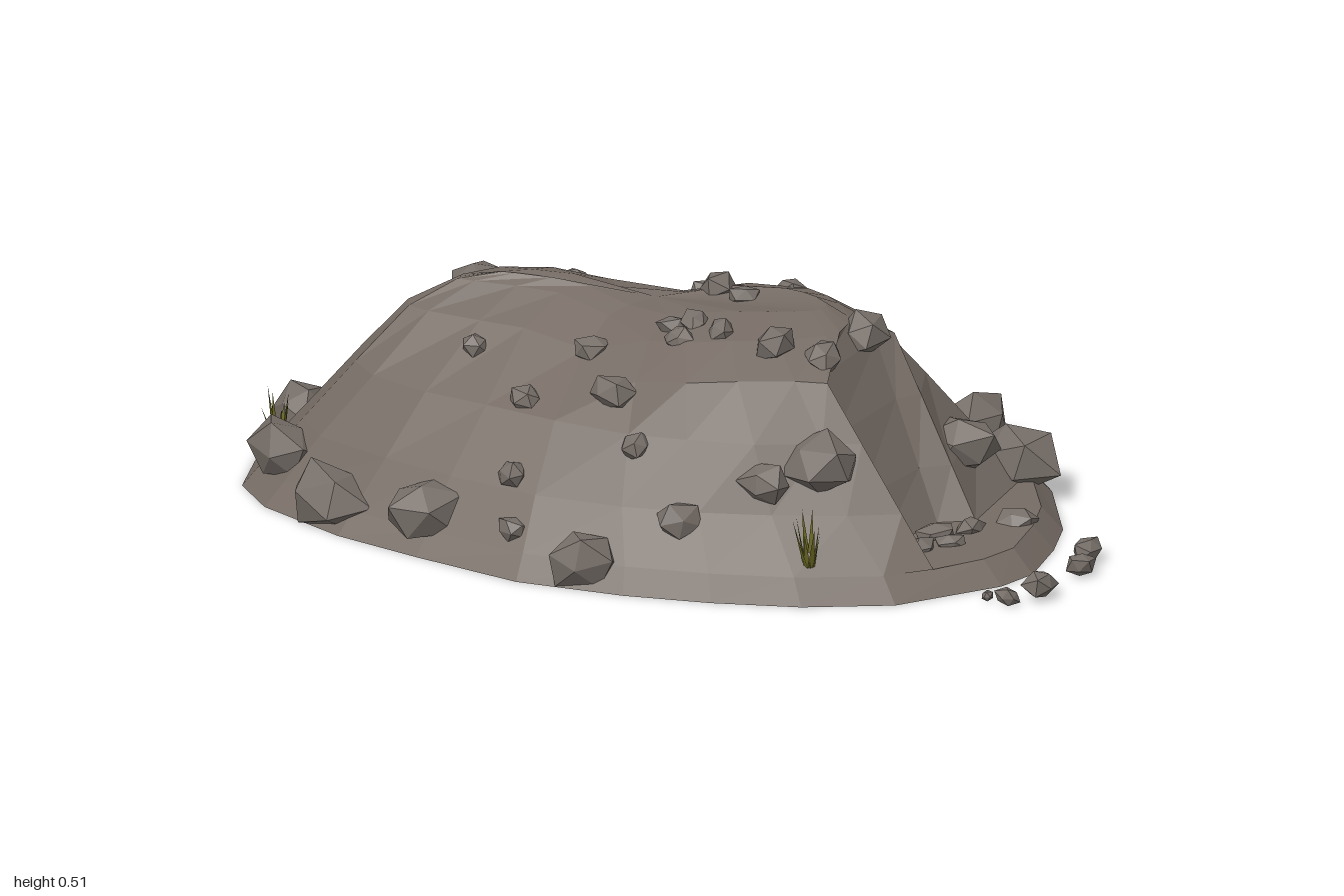
import * as THREE from 'three';

const mat = (name, color, extra = {}) =>
  Object.assign(new THREE.MeshStandardMaterial({ color, flatShading: true, ...extra }), { name });

// Seeded random numbers
let seed = 7;
const rand = () => ((seed = (seed * 16807) % 2147483647) / 2147483647);
const { lerp, clamp, smoothstep } = THREE.MathUtils;

// Footprint of the mound; the first four points frame the alcove at the +x end
const OUTLINE = [
  [0.85, -0.05], [0.86, 0.08], [0.85, 0.24], [0.80, 0.33], [0.6, 0.5], [0.4, 0.56], [0.2, 0.58],
  [0, 0.58], [-0.25, 0.55], [-0.5, 0.45], [-0.7, 0.36], [-0.9, 0.22], [-0.98, 0.1], [-0.99, -0.1],
  [-0.97, -0.25], [-0.83, -0.44], [-0.6, -0.53], [-0.35, -0.55], [0, -0.55], [0.3, -0.56],
  [0.58, -0.52], [0.69, -0.41], [0.77, -0.28],
];

// Contours: height, x range, z range, alcove cut or not, narrowing of the left crest
const LEVELS = [
  [0, -0.99, 0.86, -0.56, 0.58, false, 1],
  [0.05, -0.95, 0.81, -0.52, 0.53, false, 1],
  [0.05, -0.95, 0.81, -0.52, 0.53, true, 1],
  [0.16, -0.86, 0.69, -0.43, 0.447, true, 1],
  [0.3, -0.74, 0.57, -0.34, 0.375, true, 0.92],
  [0.42, -0.63, 0.47, -0.245, 0.31, true, 0.45],
  [0.475, -0.53, 0.38, -0.18, 0.2, false, 0.15],
  [0.495, -0.43, 0.32, -0.11, 0.06, false, 0],
];

function contour([y, x0, x1, z0, z1, cut, narrow], level) {
  const t = clamp((y - 0.05) / 0.37, 0, 1);
  const alcove = [
    [Math.min(x1, lerp(0.68, 0.46, t)), lerp(0.07, -0.08, t)],
    [lerp(0.6, 0.43, t), lerp(0.1, -0.03, t)],
    [lerp(0.52, 0.36, t), lerp(0.29, 0.25, t)],
    [lerp(0.66, 0.39, t), lerp(0.39, 0.265, t)],
  ];
  return OUTLINE.map(([ox, oz], i) => {
    let x = lerp(x0, x1, (ox + 0.99) / 1.85);
    let z = lerp(z0, z1, (oz + 0.56) / 1.14);
    if (cut && i < 4) [x, z] = alcove[i];
    else if (level > 2 && level < 6) {
      x += (rand() - 0.5) * 0.015;
      z += (rand() - 0.5) * 0.015;
    }
    // The left hump has a narrow crest, and a saddle divides the two humps
    if (z > -0.06) z = -0.06 + (z + 0.06) * lerp(narrow, 1, smoothstep(x, -0.25, 0.05));
    const dip = y > 0.4 ? 0.04 * Math.exp(-(((x + 0.1) / 0.14) ** 2)) : 0;
    return [x, y - dip, z];
  });
}

function moundGeometry() {
  const rings = LEVELS.map(contour);
  const n = OUTLINE.length;
  const pos = rings.flat(2);
  const index = [];
  for (let r = 0; r < rings.length - 1; r++) {
    // Leave out empty faces where two contours coincide
    const apart = (i) => rings[r][i].some((c, k) => c !== rings[r + 1][i][k]);
    for (let i = 0; i < n; i++) {
      const j = (i + 1) % n;
      const a = r * n + i, a1 = r * n + j;
      if (apart(i)) index.push(a, a + n, a1);
      if (apart(j)) index.push(a1, a + n, a1 + n);
    }
  }
  // Flat underside and closed crest
  const base = pos.length / 3, crest = base + 1, last = (rings.length - 1) * n;
  pos.push(0, 0, 0, -0.08, 0.462, -0.07);
  for (let i = 0; i < n; i++) {
    const j = (i + 1) % n;
    index.push(base, i, j, crest, last + j, last + i);
  }
  const g = new THREE.BufferGeometry();
  g.setAttribute('position', new THREE.Float32BufferAttribute(pos, 3));
  g.setIndex(index);
  const flat = g.toNonIndexed();
  flat.computeVertexNormals();
  return flat;
}

// Angular stone: a squashed icosahedron with corners pushed in and out
function rockGeometry(x, y, z, r) {
  const g = new THREE.IcosahedronGeometry(1, 0);
  const p = g.attributes.position, v = new THREE.Vector3();
  const phase = rand() * 50;
  const turn = new THREE.Euler(rand() * 6, rand() * 6, rand() * 6);
  const yaw = new THREE.Euler(0, rand() * 6, 0);
  for (let i = 0; i < p.count; i++) {
    v.fromBufferAttribute(p, i);
    v.multiplyScalar(1 + 0.17 * Math.sin(v.x * 5.1 + v.y * 7.3 + v.z * 9.7 + phase));
    v.applyEuler(turn);
    v.set(v.x * 1.12, v.y * 0.83, v.z * 0.9).applyEuler(yaw).multiplyScalar(r);
    p.setXYZ(i, v.x + x, Math.max(0, v.y + y), v.z + z);
  }
  g.computeVertexNormals();
  return g;
}

// Rocks as [x, z, radius, lift in radii where it differs]
const BOULDERS = [
  [-0.6, -0.48, 0.095], [-0.23, -0.51, 0.1], [-0.92, -0.24, 0.075], [-0.53, -0.25, 0.065, 0.6],
  [0.09, -0.51, 0.075], [0.28, -0.49, 0.095], [0.55, -0.45, 0.095], [0.7, -0.25, 0.1],
  [-0.88, 0.12, 0.085], [-0.74, 0.28, 0.095], [-0.5, 0.38, 0.085], [-0.1, 0.52, 0.08],
  [0.4, 0.35, 0.085], [0.62, -0.085, 0.08, 0.3], [0.41, 0, 0.065], [0, -0.25, 0.06],
];
const STONES = [
  [-0.73, -0.35, 0.035], [-0.83, -0.29, 0.045], [-0.36, -0.31, 0.05], [-0.3, -0.22, 0.033],
  [0.02, -0.4, 0.033], [0.13, -0.38, 0.045], [0.24, -0.33, 0.033], [0.2, -0.18, 0.033],
  [0.05, -0.12, 0.05], [0.12, -0.07, 0.033], [-0.45, 0.11, 0.033], [-0.18, 0.12, 0.04],
  [-0.3, 0.25, 0.038], [-0.09, 0.28, 0.05], [0, 0.1, 0.033], [0.05, 0.1, 0.033],
  [0.03, 0.17, 0.033], [0.12, 0.15, 0.035], [0.25, 0.18, 0.05], [0.36, 0.18, 0.045],
  [-0.3, 0.38, 0.038], [-0.28, 0.46, 0.035], [-0.02, 0.38, 0.038], [0.1, 0.46, 0.05],
  [0.28, 0.4, 0.06], [0.68, 0.12, 0.038], [0.62, 0.18, 0.042], [0.6, 0.27, 0.035],
  [0.77, 0.05, 0.04], [0.66, 0.22, 0.033],
];
const LOOSE = [
  [0.95, 0.14, 0.04], [0.955, 0.22, 0.034], [0.9, 0.38, 0.044], [0.84, 0.44, 0.027], [0.79, 0.42, 0.015],
];

// Tuft of thin pointed blades leaning outwards
function tuftGeometry() {
  const pos = [];
  for (let i = 0; i < 8; i++) {
    const a = (i / 8) * Math.PI * 2 + rand() * 0.4;
    const h = 0.065 + rand() * 0.05, lean = 0.022 + rand() * 0.025;
    const c = Math.cos(a), s = Math.sin(a), w = 0.009;
    const l = [c * 0.01 - s * w, -0.01, s * 0.01 + c * w];
    const r = [c * 0.01 + s * w, -0.01, s * 0.01 - c * w];
    pos.push(...l, ...r, c * lean, h, s * lean);
  }
  const g = new THREE.BufferGeometry();
  g.setAttribute('position', new THREE.Float32BufferAttribute(pos, 3));
  g.computeVertexNormals();
  return g;
}

export function createModel() {
  const model = new THREE.Group();
  model.name = 'rockyMound';
  const earth = mat('earth', 0x766c65);
  const stone = mat('stone', 0x766e68);
  const grass = mat('grass', 0x666422, { side: THREE.DoubleSide });

  const mound = new THREE.Mesh(moundGeometry(), earth);
  mound.name = 'mound';
  model.add(mound);

  // Height of the mound surface below a point
  const ray = new THREE.Raycaster();
  const heightAt = (x, z) => {
    ray.set(new THREE.Vector3(x, 2, z), new THREE.Vector3(0, -1, 0));
    const hit = ray.intersectObject(mound)[0];
    return hit ? hit.point.y : 0;
  };

  const addRocks = (name, list, usualLift) => {
    const group = new THREE.Group();
    group.name = name;
    for (const [x, z, r, lift = usualLift] of list) {
      const rock = new THREE.Mesh(rockGeometry(x, heightAt(x, z) + r * lift, z, r), stone);
      rock.name = 'rock';
      group.add(rock);
    }
    model.add(group);
  };
  addRocks('boulders', BOULDERS, 0.1);
  addRocks('stones', STONES, 0);
  addRocks('looseStones', LOOSE, 0.75);

  for (const [x, z] of [[-0.93, -0.04], [-0.08, -0.43], [0.4, 0.48]]) {
    const tuft = new THREE.Mesh(tuftGeometry(), grass);
    tuft.name = 'grassTuft';
    tuft.position.set(x, heightAt(x, z), z);
    model.add(tuft);
  }
  return model;
}
